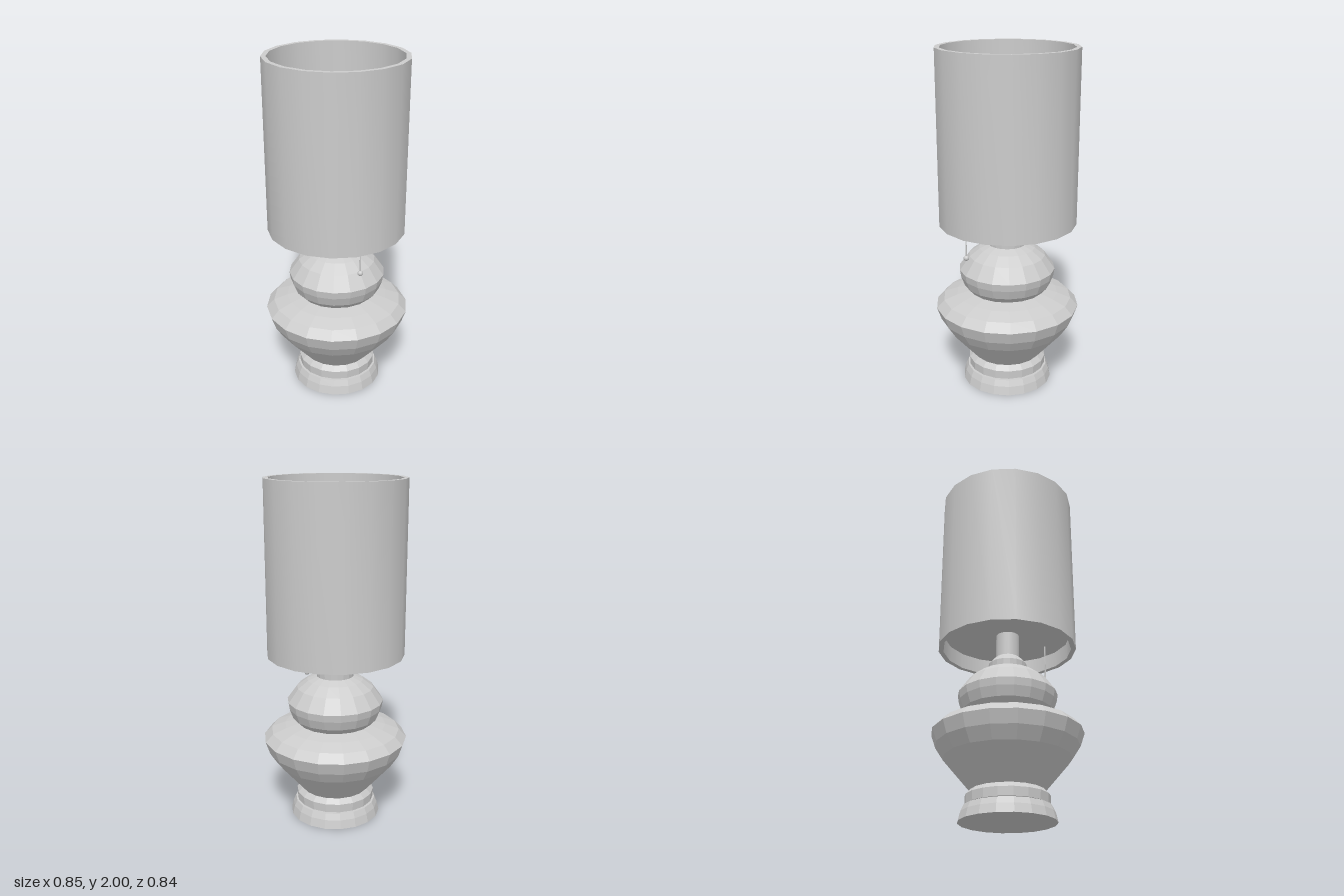
import * as THREE from 'three';
import { toCreasedNormals } from 'three/addons/utils/BufferGeometryUtils.js';

const SIDES = 18;
const faceted = new THREE.MeshStandardMaterial({ color: 0xcccccc, flatShading: true });
const smooth = new THREE.MeshStandardMaterial({ color: 0xcccccc });

// Turned shape from [radius, height] pairs listed bottom to top, with a corner on the x axis
function turned(profile) {
  const points = profile.map(([r, y]) => new THREE.Vector2(r, y));
  return new THREE.LatheGeometry(points, SIDES, Math.PI / 2);
}

export function createModel() {
  const lamp = new THREE.Group();
  lamp.name = 'tableLamp';

  function add(name, geometry, material, x = 0, y = 0, z = 0, parent = lamp) {
    const mesh = new THREE.Mesh(geometry, material);
    mesh.name = name;
    mesh.position.set(x, y, z);
    parent.add(mesh);
    return mesh;
  }

  // Flared foot
  add('foot', turned([[0, 0], [0.268, 0], [0.256, 0.05], [0.24, 0.085], [0, 0.085]]), faceted);

  // Collar between foot and body
  add('collar', turned([[0.215, 0.085], [0.23, 0.09], [0.232, 0.14], [0.205, 0.168]]), faceted);

  // Wide lower bulge
  add('lowerBody', turned([
    [0.2, 0.165], [0.265, 0.24], [0.355, 0.345], [0.4, 0.415],
    [0.425, 0.488], [0.38, 0.535], [0.3, 0.565], [0.22, 0.585],
  ]), faceted);

  // Smaller upper bulge
  add('upperBody', turned([
    [0.22, 0.582], [0.255, 0.62], [0.276, 0.675], [0.283, 0.718],
    [0.225, 0.8], [0.165, 0.845], [0.11, 0.868],
  ]), faceted);

  // Stepped neck and the stem that holds the shade
  add('neck', turned([[0.108, 0.86], [0.11, 0.905], [0.085, 0.935], [0.067, 0.95]]), faceted);
  add('stem', turned([[0.067, 0.945], [0.067, 1.095]]), smooth);

  // Shade: thick open drum, support disc, socket and bulb
  const shade = new THREE.Group();
  shade.name = 'shade';
  shade.position.z = -0.004;
  lamp.add(shade);
  const drum = turned([[0.372, 1], [0.4, 1], [0.4, 2], [0.372, 2], [0.372, 1]]);
  add('shadeDrum', toCreasedNormals(drum, 0.6), smooth, 0, 0, 0, shade);
  add('shadeDisc', turned([[0, 1.09], [0.368, 1.09], [0.368, 1.11], [0, 1.11]]), faceted, 0, 0, 0, shade);
  add('socket', turned([[0.06, 1.11], [0.06, 1.16]]), smooth, 0, 0, 0, shade);
  add('bulb', new THREE.SphereGeometry(0.111, 32, 20), smooth, 0, 1.23, 0, shade);

  // Pull cord with a bead at its end
  add('pullCord', new THREE.CylinderGeometry(0.004, 0.004, 0.27, 8), smooth, 0.02, 0.955, 0.262);
  add('pullBead', new THREE.SphereGeometry(0.016, 16, 12), smooth, 0.02, 0.818, 0.262);

  return lamp;
}
